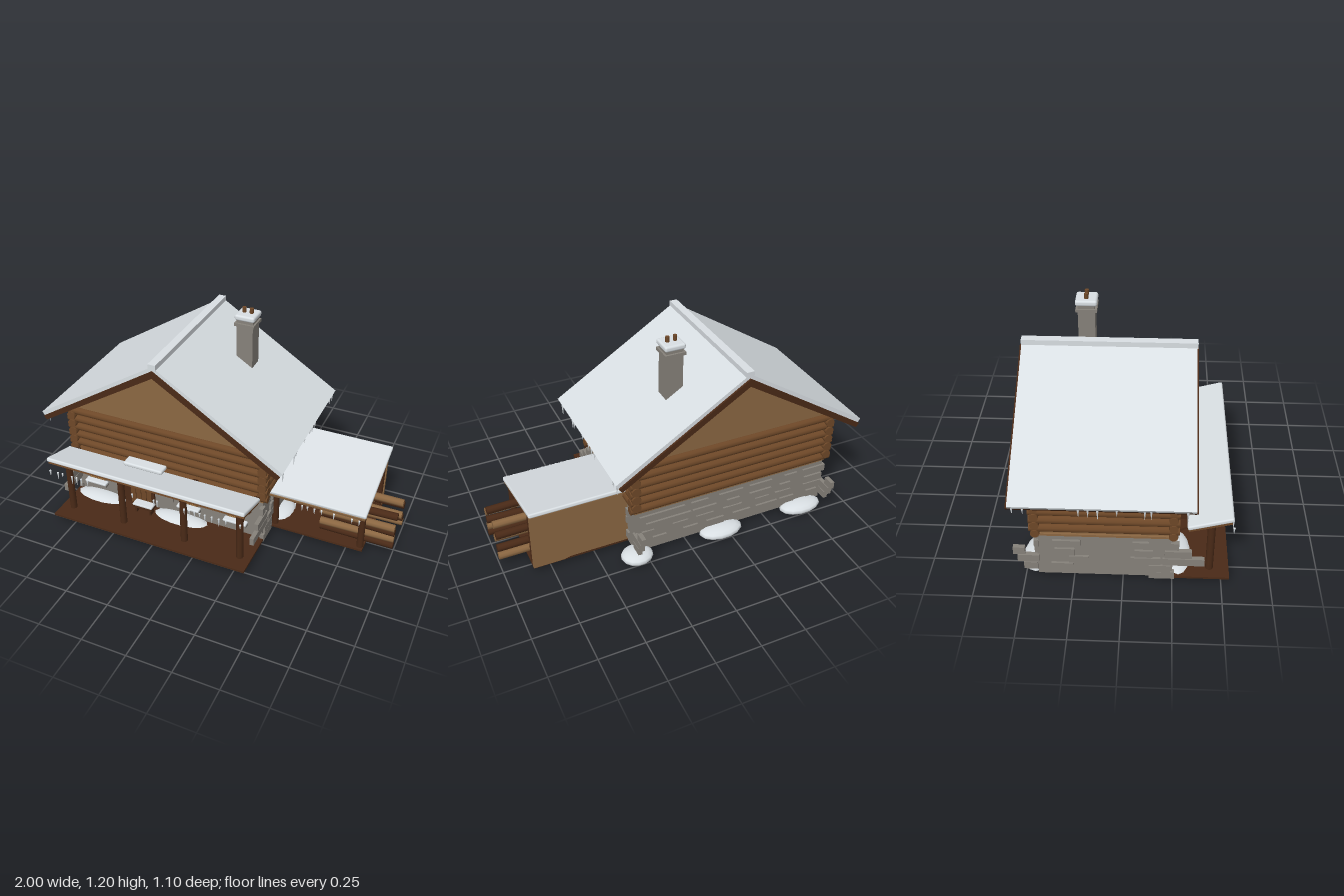
import * as THREE from 'three';
import { RoundedBoxGeometry } from 'three/addons/geometries/RoundedBoxGeometry.js';

const mat = (name, color) => Object.assign(new THREE.MeshStandardMaterial({ color }), { name });

export function createModel() {
  const house = new THREE.Group();
  house.name = 'snowyCabin';
  const snow = mat('snow', 0xd9dfe3), stone = mat('stone', 0x86817a), dark = mat('darkWood', 0x4a2a17);
  const log = mat('logWood', 0x6e4828), light = mat('lightWood', 0x8b6742), glow = mat('windowGlow', 0xe0ae55);
  const CX = -0.275, CZ = -0.09;

  let seed = 11;
  const rnd = () => (seed = (seed * 16807) % 2147483647) / 2147483647;

  const add = (name, geo, material, x = 0, y = 0, z = 0) => {
    const m = new THREE.Mesh(geo, material);
    m.name = name;
    m.position.set(x, y, z);
    house.add(m);
    return m;
  };
  // Box from its lower and upper corners
  const box = (name, material, x0, x1, y0, y1, z0, z1) =>
    add(name, new THREE.BoxGeometry(x1 - x0, y1 - y0, z1 - z0), material, (x0 + x1) / 2, (y0 + y1) / 2, (z0 + z1) / 2);
  // Slab running along x whose top surface goes from (z0, y0) to (z1, y1)
  const slope = (name, material, x0, x1, z0, y0, z1, y1, t, round) => {
    const dz = z1 - z0, dy = y1 - y0, len = Math.hypot(dz, dy);
    const geo = round ? new RoundedBoxGeometry(x1 - x0, t, len, 2, t * 0.35) : new THREE.BoxGeometry(x1 - x0, t, len);
    const m = add(name, geo, material, (x0 + x1) / 2, (y0 + y1) / 2 - (t / 2) * dz / len, (z0 + z1) / 2 + (t / 2) * dy / len);
    m.rotation.x = -Math.atan2(dy, dz);
  };
  // Flat profile in x and y, extruded along z
  const extrude = (name, material, pts, z0, z1) => {
    const shape = new THREE.Shape(pts.map(p => new THREE.Vector2(p[0], p[1])));
    add(name, new THREE.ExtrudeGeometry(shape, { depth: z1 - z0, bevelEnabled: false }), material, 0, 0, z0);
  };
  const post = (x, y0, y1, z, r = 0.019) =>
    add('post', new THREE.CylinderGeometry(r, r, y1 - y0, 10), dark, x, (y0 + y1) / 2, z);
  const icicle = (x, y, z, len) => {
    add('icicle', new THREE.ConeGeometry(0.006, len, 6), snow, x, y - len / 2, z).rotation.x = Math.PI;
  };

  // Stone ground floor
  box('stoneBase', stone, -0.86, 0.31, 0.04, 0.31, -0.43, 0.25);
  box('sillBeam', light, -0.865, 0.315, 0.303, 0.316, -0.435, 0.255);

  // Raised stones in rows on all four walls
  const rows = [0.095, 0.15, 0.2, 0.255];
  const clearOfFront = x => ![[-0.85, -0.65], [-0.6, -0.33], [-0.23, -0.04], [0.06, 0.25]].some(([a, b]) => x > a - 0.04 && x < b + 0.04);
  for (const y of rows) {
    for (let x = -0.8; x < 0.27; x += 0.13 + rnd() * 0.08) {
      const w = 0.07 + rnd() * 0.08, px = Math.min(x, 0.3 - w / 2);
      box('backStone', stone, px - w / 2, px + w / 2, y - 0.021, y + 0.021, -0.442, -0.42);
      if (clearOfFront(px)) box('frontStone', stone, px - 0.04, px + 0.04, y - 0.02, y + 0.02, 0.24, 0.26);
    }
  }
  const sideStones = [
    [0.055, 0.13, 0.26], [0.1, -0.43, -0.5], [0.1, 0.13, 0.24], [0.1, -0.25, -0.36],
    [0.15, 0.2, 0.41], [0.15, 0.04, 0.19], [0.15, -0.17, -0.27], [0.15, -0.42, -0.53],
    [0.2, 0.21, 0.345], [0.2, 0.06, 0.15], [0.2, -0.24, -0.34], [0.2, -0.49, -0.55],
    [0.255, 0.05, 0.13], [0.255, 0.24, 0.28], [0.255, -0.21, -0.35],
  ];
  for (const [y, a, b] of sideStones) {
    for (const x of [0.31, -0.86])
      box('sideStone', stone, x - 0.012, x + 0.012, y - 0.022, y + 0.022, Math.min(a, b), Math.max(a, b));
  }

  // Log storey with crossed corners
  box('logCore', light, -0.855, 0.305, 0.31, 0.62, -0.425, 0.245);
  for (let i = 0; i < 6; i++) {
    const y = 0.336 + i * 0.053;
    for (const z of [0.25, -0.43])
      add('crossLog', new THREE.CylinderGeometry(0.023, 0.023, 1.23, 10), log, CX, y, z).rotation.z = Math.PI / 2;
    if (i < 5) for (const x of [-0.86, 0.31])
      add('sideLog', new THREE.CylinderGeometry(0.026, 0.026, 0.74, 10), log, x, y + 0.0265, CZ).rotation.x = Math.PI / 2;
  }

  // Gable walls
  extrude('gable', light, [[-0.86, 0.6], [0.31, 0.6], [0.31, 0.64], [CX, 1.02], [-0.86, 0.64]], -0.43, 0.25);

  // Main roof: boards, verge boards, snow, ridge
  for (const s of [1, -1]) {
    const band = (top, bottom, ex, ey, bx, by) => [[CX, top], [CX + s * ex, ey], [CX + s * bx, by], [CX, bottom]];
    const order = p => (s > 0 ? p.slice().reverse() : p);
    extrude('roofSnow', snow, order(band(1.07, 1.045, 0.725, 0.61, 0.711, 0.588)), -0.53, 0.35);
    extrude('roofBoards', dark, order(band(1.045, 1.02, 0.711, 0.588, 0.7, 0.572)), -0.53, 0.35);
    for (const z of [-0.541, 0.347])
      extrude('vergeBoard', dark, order(band(1.047, 1.005, 0.712, 0.589, 0.695, 0.568)), z, z + 0.011);
  }
  box('ridgeSnow', snow, CX - 0.022, CX + 0.022, 1.052, 1.084, -0.532, 0.354);

  // Chimney
  box('chimney', stone, -0.035, 0.06, 0.8, 1.14, -0.27, -0.18);
  box('chimneyBand', stone, -0.046, 0.07, 1.105, 1.122, -0.281, -0.168);
  add('chimneySnow', new RoundedBoxGeometry(0.116, 0.032, 0.116, 2, 0.012), snow, 0.013, 1.155, -0.225);
  for (const x of [-0.008, 0.034])
    add('chimneyPot', new THREE.CylinderGeometry(0.011, 0.011, 0.04, 10), log, x, 1.18, -0.225);

  // Porch
  box('porchFloor', dark, -0.87, 0.32, 0.038, 0.05, 0.25, 0.54);
  for (const x of [-0.8, -0.465, -0.08, 0.255]) {
    post(x, 0.05, 0.385, 0.44, 0.02);
    add('postCap', new THREE.SphereGeometry(0.022, 10, 6), snow, x, 0.385, 0.44).scale.y = 0.4;
  }
  slope('porchBoards', log, -0.865, 0.315, 0.32, 0.372, 0.53, 0.428, 0.017);
  slope('porchSnow', snow, -0.87, 0.32, 0.315, 0.388, 0.538, 0.452, 0.024, true);
  for (const x of [-0.84, -0.46, -0.08, 0.29]) slope('porchBrace', dark, x - 0.012, x + 0.012, 0.255, 0.345, 0.33, 0.388, 0.012);
  add('snowDrift', new RoundedBoxGeometry(0.24, 0.025, 0.07, 2, 0.01), snow, -0.36, 0.415, 0.34);

  // Door
  box('doorFrame', dark, -0.575, -0.36, 0.05, 0.31, 0.245, 0.262);
  for (let i = 0; i < 4; i++) box('doorPlank', log, -0.51 + i * 0.034, -0.48 + i * 0.034, 0.055, 0.295, 0.25, 0.267);
  add('doorKnob', new THREE.SphereGeometry(0.007, 8, 6), light, -0.425, 0.19, 0.273);

  // Windows with bars, snowy sills and heart ornaments
  const heart = new THREE.Shape();
  heart.moveTo(0, -0.016);
  heart.bezierCurveTo(-0.03, 0.006, -0.012, 0.024, 0, 0.009);
  heart.bezierCurveTo(0.012, 0.024, 0.03, 0.006, 0, -0.016);
  for (const x of [-0.74, -0.135, 0.155]) {
    box('windowFrame', light, x - 0.052, x + 0.052, 0.145, 0.272, 0.245, 0.258);
    box('windowPane', glow, x - 0.042, x + 0.042, 0.155, 0.262, 0.256, 0.262);
    box('windowBar', light, x - 0.003, x + 0.003, 0.155, 0.262, 0.258, 0.266);
    for (const y of [0.19, 0.227]) box('windowBar', light, x - 0.042, x + 0.042, y - 0.003, y + 0.003, 0.258, 0.266);
    box('windowSill', stone, x - 0.07, x + 0.07, 0.115, 0.128, 0.25, 0.285);
    add('sillSnow', new RoundedBoxGeometry(0.14, 0.015, 0.04, 2, 0.006), snow, x, 0.134, 0.27);
    for (const s of [-1, 1])
      add('heart', new THREE.ExtrudeGeometry(heart, { depth: 0.008, bevelEnabled: false }), dark, x + s * 0.075, 0.217, 0.256);
  }

  // Bench by the door
  box('benchSeat', dark, -0.46, -0.34, 0.085, 0.1, 0.29, 0.34);
  for (const x of [-0.45, -0.36]) box('benchLeg', dark, x, x + 0.012, 0.05, 0.085, 0.295, 0.335);
  add('benchSnow', new RoundedBoxGeometry(0.125, 0.014, 0.052, 2, 0.005), snow, -0.4, 0.105, 0.315);

  // Lean-to wood shelter
  box('shelterFloor', dark, 0.31, 0.85, 0.038, 0.05, -0.325, 0.125);
  box('shelterBackWall', light, 0.31, 0.85, 0.04, 0.395, -0.325, -0.305);
  for (const x of [0.33, 0.83]) {
    post(x, 0.05, 0.29, 0.095);
    post(x, 0.05, 0.385, -0.275);
  }
  slope('shelterBoards', light, 0.3, 0.855, -0.345, 0.412, 0.155, 0.293, 0.014);
  slope('shelterSnow', snow, 0.3, 0.86, -0.36, 0.437, 0.158, 0.315, 0.024, true);

  // Two stacks of firewood logs
  const ys = [0.065, 0.108, 0.152, 0.196, 0.24];
  [[0.03, 0.035, 0.025, 0.05, 0.005], [-0.18, -0.165, -0.13, -0.165, -0.13]].forEach((zs, k) => zs.forEach((z, i) => {
    const m = add('firewood', new THREE.CylinderGeometry(0.022, 0.022, 0.42, 9), (i + k) % 2 ? light : dark, 0.79, ys[i], z);
    m.rotation.set(0, (rnd() - 0.5) * 0.06, Math.PI / 2);
  }));

  // Snow mounds around the base
  const mounds = [
    [-0.7, 0.28, 0.17, 0.07], [-0.18, 0.28, 0.18, 0.07], [0.33, -0.03, 0.07, 0.11], [0.33, -0.2, 0.06, 0.09],
    [-0.72, -0.45, 0.13, 0.075], [-0.2, -0.45, 0.13, 0.075], [0.31, -0.45, 0.09, 0.08],
  ];
  for (const [x, z, rx, rz] of mounds)
    add('snowMound', new THREE.SphereGeometry(1, 14, 8), snow, x, 0.037, z).scale.set(rx, 0.034, rz);

  // Icicles along the eaves
  for (const z of [0.31, 0.14, 0.11, -0.02, -0.11, -0.155, -0.2, -0.46, -0.51])
    for (const x of [-0.985, 0.437]) icicle(x, 0.59, z, 0.03 + rnd() * 0.045);
  for (const x of [-0.85, -0.8, -0.77, -0.71, -0.68, -0.65, -0.61, -0.33, -0.2, -0.18, -0.02, 0.01, 0.04, 0.07, 0.1, 0.14, 0.18, 0.22, 0.3])
    icicle(x, 0.375, 0.545, 0.025 + rnd() * 0.03);
  for (const x of [0.47, 0.51, 0.54, 0.58, 0.62, 0.69, 0.79, 0.83]) icicle(x, 0.295, 0.178, 0.02 + rnd() * 0.03);

  return house;
}
